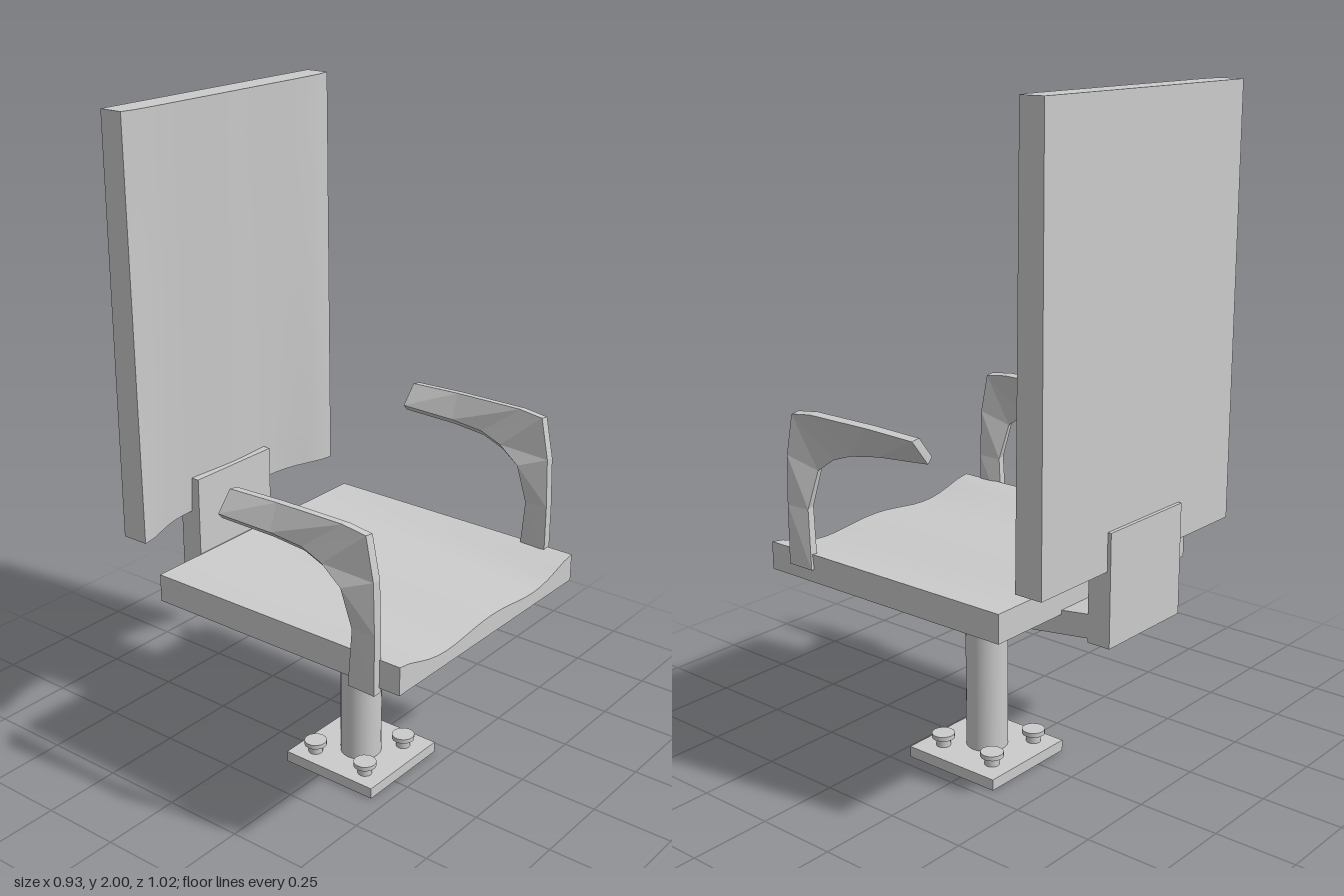
import * as THREE from 'three';

const smooth = new THREE.MeshStandardMaterial({ color: 0xcccccc });
const faceted = new THREE.MeshStandardMaterial({ color: 0xcccccc, flatShading: true });

function add(parent, name, geometry, x = 0, y = 0, z = 0, material = smooth) {
  const mesh = new THREE.Mesh(geometry, material);
  mesh.name = name;
  mesh.position.set(x, y, z);
  parent.add(mesh);
  return mesh;
}

// Double hollow across the width: t runs -1..1, centre is the depth in the middle
const hollow = (t, centre) => (1 - t * t) ** 2 * (centre + 0.2 * t * t);

// Seat cushion: hollows deepen toward the front edge
function seatGeometry(w, h, d) {
  const g = new THREE.BoxGeometry(w, h, d, 20, 1, 8);
  const p = g.attributes.position;
  for (let i = 0; i < p.count; i++) {
    if (p.getY(i) < 0) continue;
    p.setY(i, h / 2 - hollow(p.getX(i) / (w / 2), 0.025) * (p.getZ(i) / d + 0.5));
  }
  g.computeVertexNormals();
  return g;
}

// Backrest: hollowed at the bottom, slightly rounded at the sides
function backGeometry(w, h, d) {
  const g = new THREE.BoxGeometry(w, h, d, 20, 10, 1);
  const p = g.attributes.position;
  for (let i = 0; i < p.count; i++) {
    if (p.getZ(i) < 0) continue;
    const t = p.getX(i) / (w / 2), up = p.getY(i) / h + 0.5;
    p.setZ(i, d / 2 - hollow(t, 0.045) * (1 - up) - 0.01 * up * t ** 12);
  }
  g.computeVertexNormals();
  return g;
}

// Armrest: four-cornered sections from the post foot up and back to the tip.
// Each row: outer y, outer z, inner y, inner z, inner x
function armGeometry() {
  const rows = [
    [0.64, 0.425, 0.64, 0.335, 0.437],
    [0.82, 0.425, 0.82, 0.357, 0.425],
    [0.97, 0.42, 0.94, 0.335, 0.405],
    [1.095, 0.395, 0.99, 0.27, 0.408],
    [1.105, 0.32, 1.015, 0.2, 0.412],
    [1.105, 0.1, 1.03, 0.1, 0.403],
    [1.10, -0.065, 1.04, -0.07, 0.39],
  ];
  const pos = [], idx = [];
  rows.forEach(([oy, oz, iy, iz, ix], i) => {
    const tilt = Math.min(i / 3, 1);
    pos.push(0.461, oy - 0.004 * tilt, oz, 0.433, oy, oz,
      ix, iy, iz, ix + 0.024 - 0.008 * tilt, iy - 0.018 * tilt, iz);
    if (i === 0) return;
    for (let k = 0; k < 4; k++) {
      const a = (i - 1) * 4 + k, b = (i - 1) * 4 + (k + 1) % 4;
      idx.push(a, a + 4, b + 4, a, b + 4, b);
    }
  });
  const e = (rows.length - 1) * 4;
  idx.push(0, 1, 2, 0, 2, 3, e, e + 2, e + 1, e, e + 3, e + 2);
  const g = new THREE.BufferGeometry();
  g.setAttribute('position', new THREE.Float32BufferAttribute(pos, 3));
  g.setIndex(idx);
  const flat = g.toNonIndexed();
  flat.computeVertexNormals();
  return flat;
}

// Back bracket: side outline of sloping arm and upright plate, extruded across x
function bracketGeometry(width) {
  const outline = [[0.138, 0.515], [0.44, 0.555], [0.44, 0.543], [0.512, 0.543],
    [0.512, 0.87], [0.44, 0.87], [0.44, 0.625], [0.138, 0.585]];
  const shape = new THREE.Shape(outline.map(([x, y]) => new THREE.Vector2(x, y)));
  const g = new THREE.ExtrudeGeometry(shape, { depth: width, bevelEnabled: false });
  g.rotateY(Math.PI / 2);
  return g;
}

export function createModel() {
  const model = new THREE.Group();
  model.name = 'pedestalChair';

  // Floor plate, post and swivel disc
  add(model, 'basePlate', new THREE.BoxGeometry(0.326, 0.034, 0.326), 0.047, 0.017, 0.038);
  add(model, 'post', new THREE.CylinderGeometry(0.063, 0.063, 0.53, 32), 0.04, 0.295, 0.042);
  add(model, 'swivelDisc', new THREE.CylinderGeometry(0.228, 0.228, 0.062, 40), 0.021, 0.571, 0.065);

  // Floor bolts
  for (const x of [-0.058, 0.136]) {
    for (const z of [-0.059, 0.133]) {
      const bolt = new THREE.Group();
      bolt.name = 'bolt';
      bolt.position.set(x, 0.034, z);
      add(bolt, 'boltShank', new THREE.CylinderGeometry(0.022, 0.022, 0.03, 16), 0, 0.015, 0);
      add(bolt, 'boltHead', new THREE.CylinderGeometry(0.035, 0.035, 0.014, 16), 0, 0.033, 0);
      model.add(bolt);
    }
  }

  // Seat, backrest and the bracket joining them
  add(model, 'seat', seatGeometry(0.855, 0.084, 0.86), 0.024, 0.643, 0.079);
  add(model, 'backrest', backGeometry(0.855, 1.24, 0.085), 0.035, 1.38, -0.4585);
  add(model, 'backBracket', bracketGeometry(0.326), -0.14, 0, 0);

  // Armrests: same shape on both sides, the right one set lower and further forward
  const arm = armGeometry();
  add(model, 'leftArmrest', arm, 0, 0, 0, faceted);
  add(model, 'rightArmrest', arm, -0.859, -0.055, 0.018, faceted);

  return model;
}
